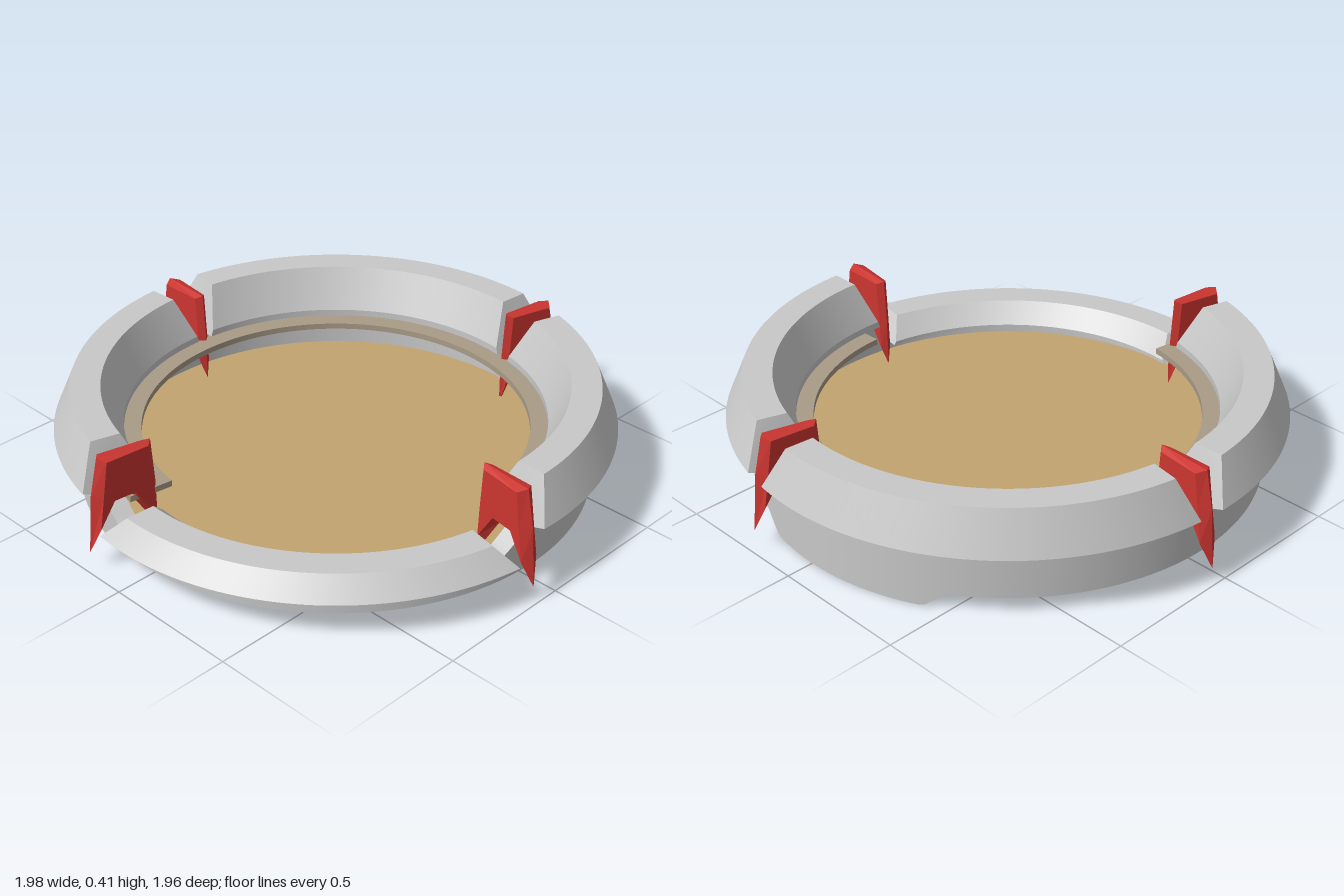
import * as THREE from 'three';

const RAD = Math.PI / 180;
const polar = (deg, r, y) =>
  new THREE.Vector3(r * Math.cos(deg * RAD), y, r * Math.sin(deg * RAD));
const lerp = THREE.MathUtils.lerp;

// Joins matching cross-sections; every profile edge gets its own vertices so it stays sharp.
function loft(sections, capped, flat) {
  const pos = [], idx = [];
  const n = sections[0].length;
  const add = (p) => pos.push(p.x, p.y, p.z) / 3 - 1;
  for (let e = 0; e < n; e++) {
    let prev = null;
    for (const s of sections) {
      const cur = [add(s[e]), add(s[(e + 1) % n])];
      if (prev) idx.push(prev[0], prev[1], cur[0], cur[0], prev[1], cur[1]);
      prev = cur;
    }
  }
  if (capped) {
    [sections[0], sections[sections.length - 1]].forEach((s, end) => {
      const flatPts = s.map((p) => new THREE.Vector2(Math.hypot(p.x, p.z), p.y));
      const base = s.map(add);
      for (const [a, b, c] of THREE.ShapeUtils.triangulateShape(flatPts, [])) {
        if (end) idx.push(base[a], base[b], base[c]);
        else idx.push(base[a], base[c], base[b]);
      }
    });
  }
  let geo = new THREE.BufferGeometry();
  geo.setAttribute('position', new THREE.Float32BufferAttribute(pos, 3));
  geo.setIndex(idx);
  if (flat) geo = geo.toNonIndexed();
  geo.computeVertexNormals();
  return geo;
}

// Sweeps a profile of [radius, height] from one angle to another; the ends lean back with height.
function arc(profile, from, to, steps, lean = () => 0) {
  const sections = [];
  for (let i = 0; i <= steps; i++) {
    sections.push(profile.map(([r, y]) =>
      polar(lerp(from + lean(y), to - lean(y), i / steps), r, y)));
  }
  return loft(sections, true);
}

// Linear interpolation through [angle, height] keys
function ramp(keys, a) {
  for (let i = 1; i < keys.length; i++) {
    const [a0, y0] = keys[i - 1], [a1, y1] = keys[i];
    if (a <= a1) return lerp(y0, y1, (a - a0) / (a1 - a0));
  }
  return keys[keys.length - 1][1];
}

export function createModel() {
  const model = new THREE.Group();
  const material = (name, color) => {
    const m = new THREE.MeshStandardMaterial({ color });
    m.name = name;
    return m;
  };
  const stone = material('light grey', 0xc8c8c8);
  const sand = material('sand', 0xc2a470);
  const ledgeTan = material('greyish tan', 0xa99b87);
  const red = material('red', 0xcc3530);

  const part = (name, geo, mat, parent = model) => {
    const mesh = new THREE.Mesh(geo, mat);
    mesh.name = name;
    parent.add(mesh);
    return mesh;
  };

  // Arena floor
  part('floor', new THREE.CylinderGeometry(0.835, 0.835, 0.01, 96), sand).position.y = 0.067;

  // Wall: lower in the front left quarter, with a foot reaching the ground at the back
  const top = [[0, 0.235], [1, 0.235], [9, 0.15], [97, 0.15], [106, 0.235], [360, 0.235]];
  const bottom = [[0, 0.06], [237, 0.06], [242, 0], [283, 0], [288, 0.06], [360, 0.06]];
  const wall = [];
  for (let i = 0; i <= 240; i++) {
    const a = i * 1.5, t = ramp(top, a), b = ramp(bottom, a);
    wall.push([polar(a, 0.83, b), polar(a, 0.9, b), polar(a, 0.9, t), polar(a, 0.83, t)]);
  }
  part('wall', loft(wall, false), stone);

  // Thin walkway around three quarters of the inside
  part('walkway', arc([[0.68, 0.21], [0.84, 0.21], [0.84, 0.232], [0.68, 0.232]], 98.5, 358.5, 130), ledgeTan);

  // Rim segments between the fins; the first one is low
  const finAngles = [6, 99.5, 183.5, 281.8];
  const high = [[0.74, 0.236], [0.9, 0.236], [0.98, 0.26], [0.915, 0.41], [0.81, 0.41], [0.74, 0.26]];
  const low = [[0.735, 0.14], [0.9, 0.14], [0.98, 0.152], [0.91, 0.222], [0.805, 0.222], [0.735, 0.152]];
  finAngles.forEach((a, i) => {
    const next = i < 3 ? finAngles[i + 1] : finAngles[0] + 360;
    const profile = i === 0 ? low : high;
    const y0 = profile[0][1], y1 = profile[3][1];
    const lean = (y) => lerp(2.3, 6.5, (y - y0) / (y1 - y0));
    part(i === 0 ? 'lowRim' : 'highRim' + i, arc(profile, a, next, 48, lean), stone);
  });

  // Fins: saddle-shaped blades straddling the wall, with pointed edges
  const edge = [[0.745, 0.415], [0.735, 0.25], [0.735, 0.06], [0.83, 0.23],
    [0.9, 0.23], [0.995, 0.065], [0.975, 0.28], [0.945, 0.415]];
  const face = [[0.765, 0.405], [0.755, 0.25], [0.75, 0.14], [0.82, 0.25],
    [0.905, 0.25], [0.965, 0.16], [0.945, 0.28], [0.925, 0.405]];
  const blade = (tipY) => {
    const layer = (pts, side) => pts.map(([r, y], i) =>
      new THREE.Vector3(r, i === 2 && side === 0 ? tipY : y, side * lerp(0.02, 0.036, (r - 0.74) / 0.25)));
    return loft([layer(face, -1), layer(edge, 0), layer(face, 1)], true, true);
  };
  finAngles.forEach((a, i) => {
    part('fin' + (i + 1), blade(i === 3 ? 0.04 : 0.07), red).rotation.y = -a * RAD;
  });

  return model;
}
